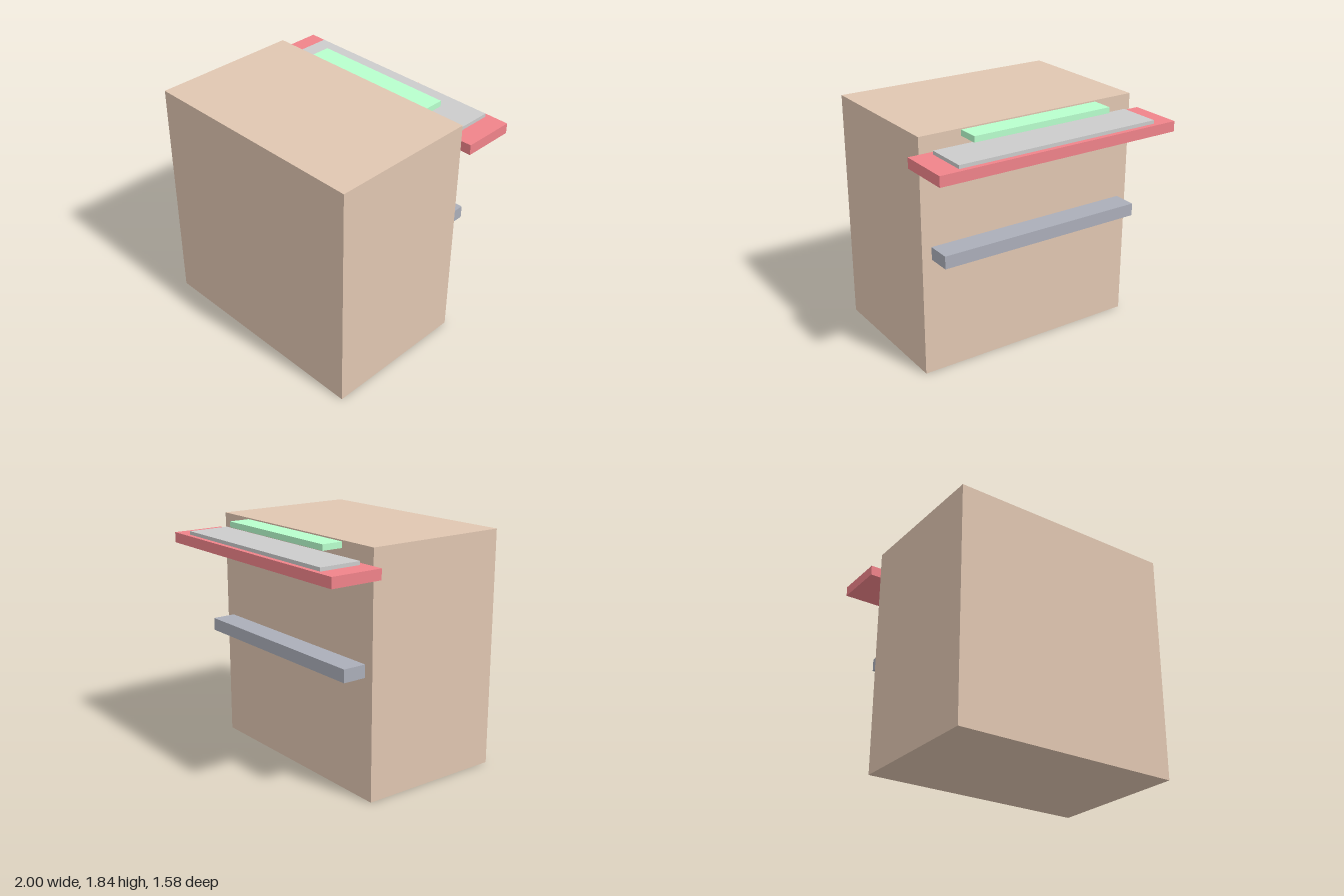
import * as THREE from 'three';

// Box given by half width, y range and z range, centred on x = 0
function slab(name, color, halfX, [y0, y1], [z0, z1]) {
  const geometry = new THREE.BoxGeometry(halfX * 2, y1 - y0, z1 - z0);
  const mesh = new THREE.Mesh(geometry, new THREE.MeshStandardMaterial({ color }));
  mesh.position.set(0, (y0 + y1) / 2, (z0 + z1) / 2);
  mesh.name = name;
  return mesh;
}

export function createModel() {
  const group = new THREE.Group();
  group.name = 'cabinetWithShelves';
  const back = -0.375; // rear face of the cabinet, where the ledges attach

  group.add(
    // Main block
    slab('cabinetBody', 0xe0c6b1, 0.917, [0, 1.835], [back, 0.79]),
    // Wide shelf with a thin mat lying on it
    slab('wideShelf', 0xf0838a, 1, [1.63, 1.71], [-0.79, back]),
    slab('shelfMat', 0xcccccc, 0.832, [1.71, 1.737], [-0.752, -0.42]),
    // Small ledge above the shelf
    slab('upperLedge', 0xb8ffcd, 0.582, [1.78, 1.825], [-0.543, back]),
    // Rail halfway up
    slab('middleRail', 0xabaeb9, 0.84, [0.912, 1.01], [-0.56, back]),
  );
  return group;
}
